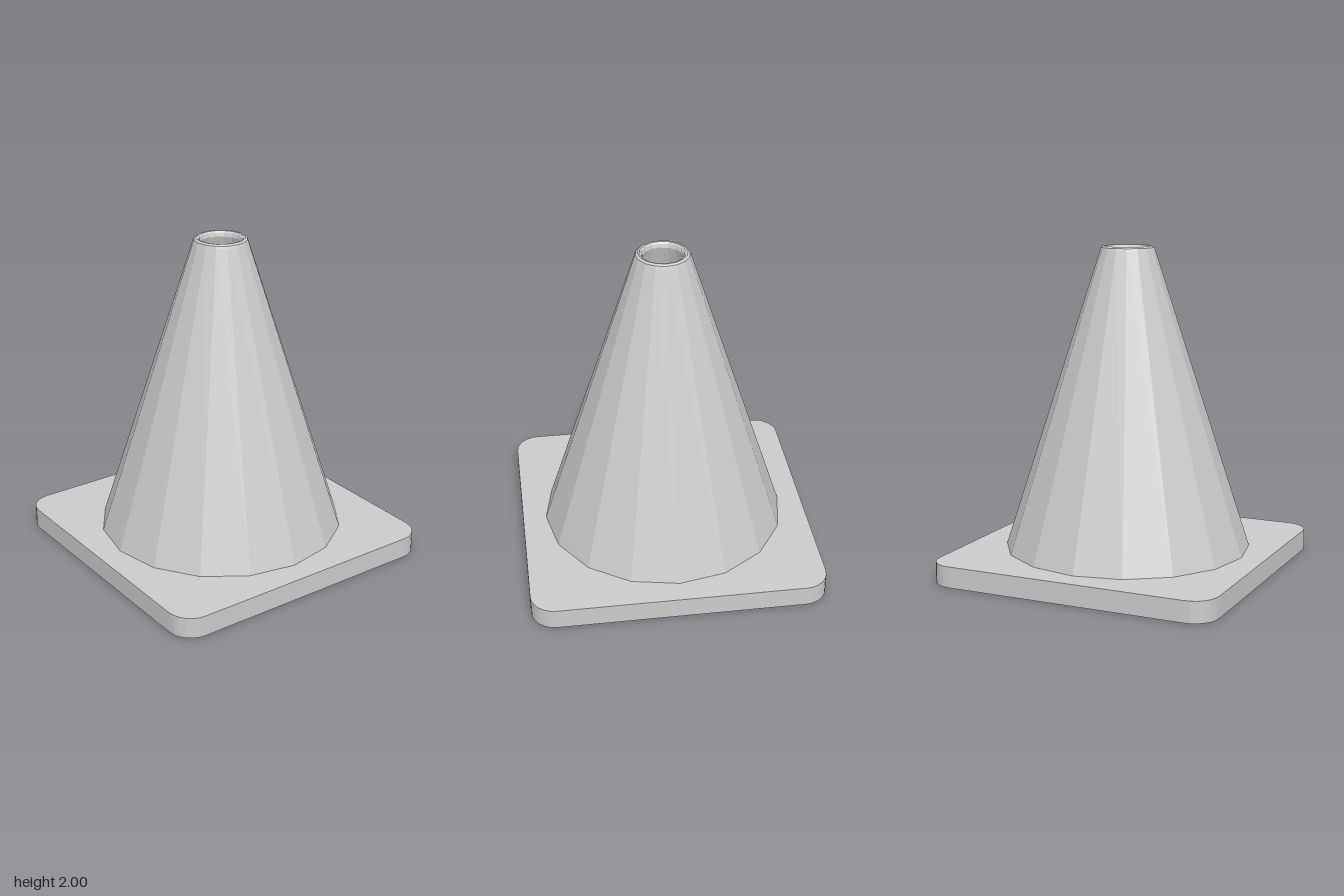
import * as THREE from 'three';

export function createModel() {
  const group = new THREE.Group();
  const material = new THREE.MeshStandardMaterial({ color: 0xcccccc, flatShading: true });

  // Square base plate with three-segment rounded corners
  const half = 0.91, radius = 0.15, inner = half - radius, thickness = 0.13;
  const outline = new THREE.Shape();
  for (let i = 0; i < 4; i++) {
    const a = i * Math.PI / 2 + Math.PI / 4;
    const cx = Math.sign(Math.cos(a)) * inner, cy = Math.sign(Math.sin(a)) * inner;
    outline.absarc(cx, cy, radius, i * Math.PI / 2, (i + 1) * Math.PI / 2, false);
  }
  const plate = new THREE.ExtrudeGeometry(outline, { depth: thickness, bevelEnabled: false, curveSegments: 3 });
  plate.rotateX(-Math.PI / 2);
  const base = new THREE.Mesh(plate, material);
  base.name = 'basePlate';
  group.add(base);

  // Hollow 16-sided cone: outer wall, rounded lip, inner wall
  const profile = [
    [0.762, thickness], [0.168, 1.975], [0.162, 1.991], [0.148, 2],
    [0.138, 1.998], [0.128, 1.988], [0.122, 1.965], [0.71, thickness],
  ].map(([r, y]) => new THREE.Vector2(r, y));
  const coneMaterial = material.clone();
  coneMaterial.side = THREE.DoubleSide;
  const cone = new THREE.Mesh(new THREE.LatheGeometry(profile, 16), coneMaterial);
  cone.name = 'coneBody';
  group.add(cone);

  return group;
}
